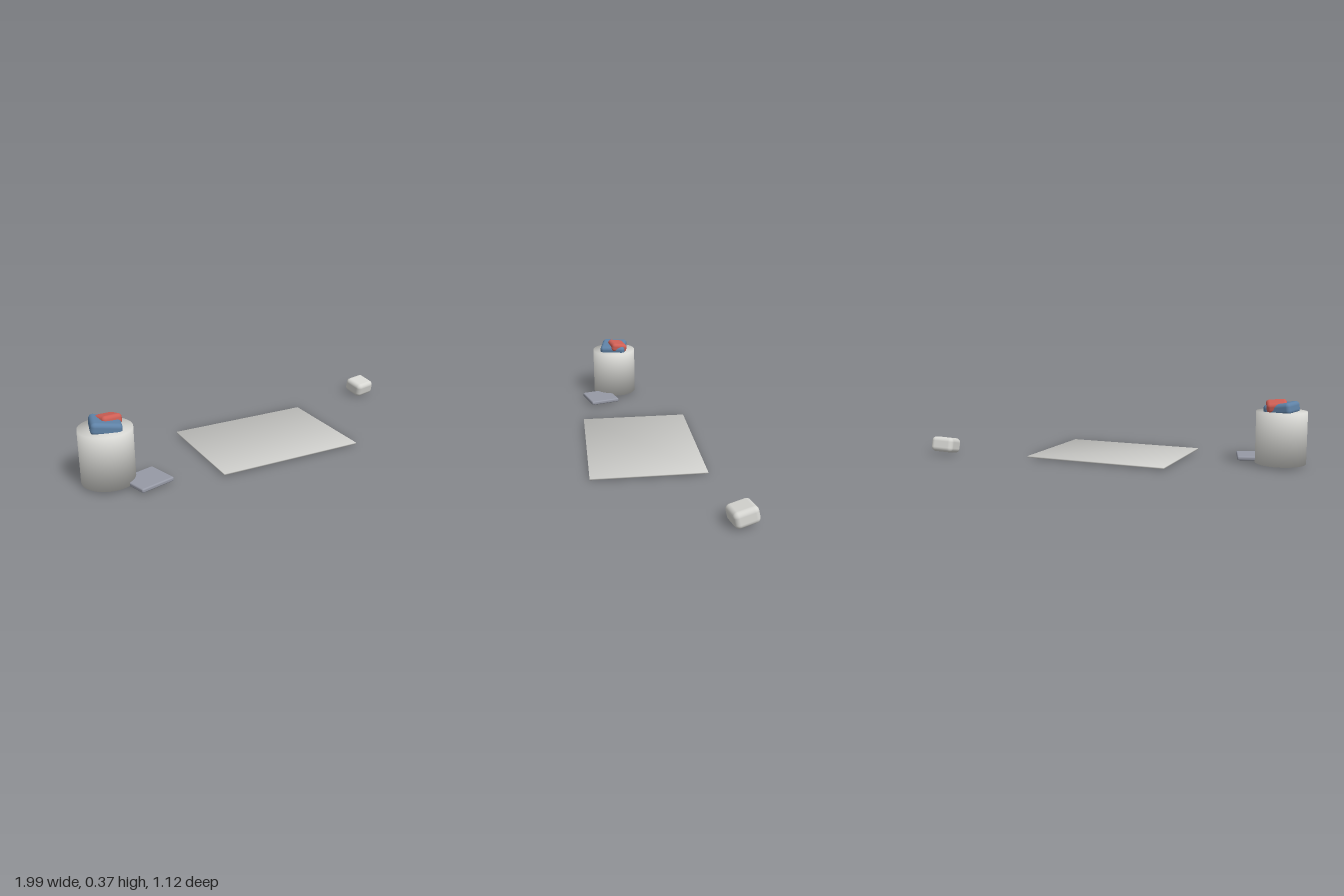
import * as THREE from 'three';
import { RoundedBoxGeometry } from 'three/addons/geometries/RoundedBoxGeometry.js';

const mat = (name, color) => {
  const m = new THREE.MeshStandardMaterial({ color });
  m.name = name;
  return m;
};

// Gives vertices normals that blend across the edges of a convex shape.
function softenNormals(geometry, normalAt) {
  const p = geometry.attributes.position;
  const n = new THREE.Vector3();
  for (let i = 0; i < p.count; i++) {
    normalAt(n, p.getX(i), p.getY(i), p.getZ(i));
    n.normalize();
    geometry.attributes.normal.setXYZ(i, n.x, n.y, n.z);
  }
  return geometry;
}

export function createModel() {
  const group = new THREE.Group();
  const pale = mat('paleGrey', 0xd6d6d2);
  const sheetGrey = mat('sheetGrey', 0xcdcdca);
  const slate = mat('slateGrey', 0x9699a5);
  const blue = mat('clothBlue', 0x5f82a6);
  const red = mat('clothRed', 0xce5f55);

  const add = (name, geometry, material, pos, rot) => {
    const mesh = new THREE.Mesh(geometry, material);
    mesh.name = name;
    mesh.position.set(...pos);
    mesh.rotation.set(rot[0], rot[1], rot[2], 'YXZ');
    group.add(mesh);
  };
  const rounded = (w, h, d, r) => new RoundedBoxGeometry(w, h, d, 4, r);

  // Hamper: closed drum with shading blended over its rims
  const drum = softenNormals(
    new THREE.CylinderGeometry(0.14, 0.14, 0.29, 48),
    (n, x, y, z) => n.set(x / 0.14, Math.sign(y), z / 0.14)
  );
  add('hamper', drum, pale, [-0.86, 0.163, 0.361], [0, 0, 0]);

  // Folded cloths heaped on top
  add('blueCloth', rounded(0.158, 0.065, 0.163, 0.022), blue,
    [-0.858, 0.322, 0.361], [0, 0, -0.14]);
  add('redCloth', rounded(0.115, 0.055, 0.105, 0.02), red,
    [-0.84, 0.339, 0.334], [-0.18, 0.48, -0.08]);

  // Flat pad beside the hamper
  add('pad', rounded(0.201, 0.023, 0.185, 0.008), slate,
    [-0.671, 0.025, 0.43], [0, 0.497, 0]);

  // Large thin floor sheet
  const sheet = softenNormals(
    new THREE.BoxGeometry(0.84, 0.008, 0.632),
    (n, x, y, z) => n.set(Math.sign(x) * 0.4, Math.sign(y), Math.sign(z) * 0.4)
  );
  add('floorSheet', sheet, sheetGrey, [0.069, 0.017, 0.079], [0, 0.211, 0]);

  // Tipped cushion in the far corner
  add('cushion', rounded(0.136, 0.088, 0.132, 0.026), pale,
    [0.915, 0.062, -0.486], [0.21, 0.38, 0.06]);

  return group;
}
